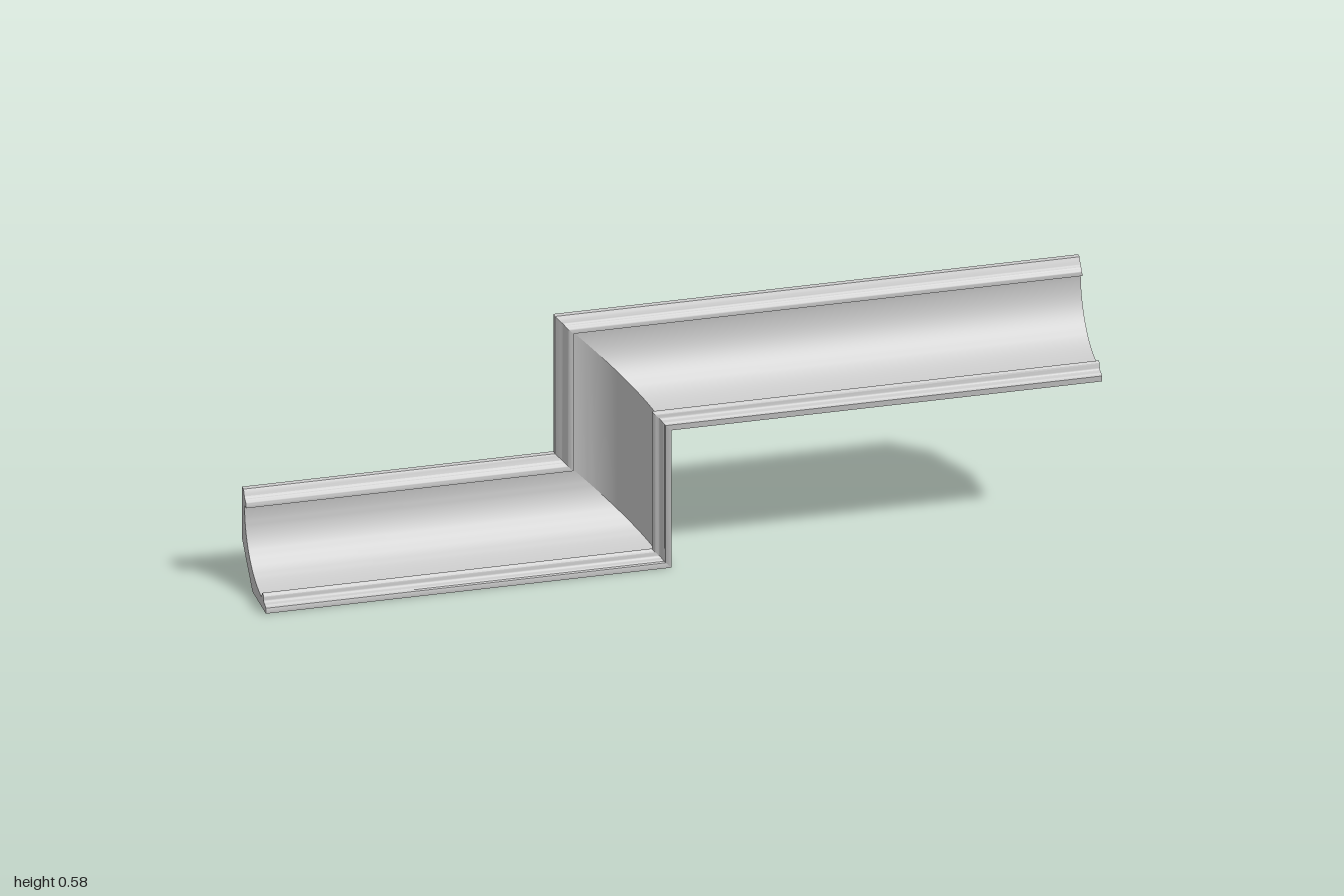
import * as THREE from 'three';
import { toCreasedNormals } from 'three/addons/utils/BufferGeometryUtils.js';

const RISE = 0.352, CORNER = -0.03;

// Moulding cross-section as (z, height), from the front foot round the back to the front lip
function makeProfile() {
  const pts = [[0.11, 0], [-0.012, 0], [-0.108, 0.094], [-0.108, 0.225], [-0.094, 0.225]];
  const arc = (cz, ch, rz, rh, from, to, n) => {
    for (let i = 0; i <= n; i++) {
      const a = THREE.MathUtils.degToRad(from + (to - from) * i / n);
      pts.push([cz + rz * Math.cos(a), ch + rh * Math.sin(a)]);
    }
  };
  // top ogee
  pts.push([-0.09, 0.22], [-0.088, 0.214]);
  arc(-0.078, 0.214, 0.009, 0.009, 190, 260, 4);
  arc(-0.08, 0.193, 0.01, 0.01, 75, 0, 5);
  pts.push([-0.07, 0.187], [-0.084, 0.187]);
  // cove
  arc(0.085, 0.187, 0.169, 0.163, 183, 265, 24);
  // bead
  arc(0.08, 0.03, 0.008, 0.009, 180, 0, 8);
  // lower lip
  arc(0.097, 0.027, 0.008, 0.008, 190, 270, 4);
  arc(0.1, 0.014, 0.005, 0.005, 80, 20, 3);
  pts.push([0.11, 0.014]);
  return pts.map(([z, h]) => new THREE.Vector2(z, h));
}

// The four mitred stations that a profile point passes through
const stations = [
  (p) => [-1, p.y, p.x],
  (p) => [CORNER - p.y, p.y, p.x],
  (p) => [CORNER - p.y, RISE + p.y, p.x],
  (p) => [1, RISE + p.y, p.x],
];

export function createModel() {
  const group = new THREE.Group();
  const material = new THREE.MeshStandardMaterial({ color: 0xcccccc });
  const profile = makeProfile();

  const addMesh = (name, pos, crease) => {
    const geo = new THREE.BufferGeometry();
    geo.setAttribute('position', new THREE.Float32BufferAttribute(pos, 3));
    const mesh = new THREE.Mesh(toCreasedNormals(geo, crease), material);
    mesh.name = name;
    group.add(mesh);
  };

  // Straight lengths between neighbouring stations
  ['lowerRun', 'riser', 'upperRun'].forEach((name, k) => {
    const pos = [];
    profile.forEach((p, i) => {
      const q = profile[(i + 1) % profile.length];
      const a = stations[k](p), b = stations[k](q);
      const c = stations[k + 1](q), d = stations[k + 1](p);
      pos.push(...a, ...b, ...d, ...b, ...c, ...d);
    });
    addMesh(name, pos, Math.PI / 6);
  });

  // Flat cut ends
  const faces = THREE.ShapeUtils.triangulateShape(profile, []);
  [['leftEnd', 3, true], ['rightEnd', 0, false]].forEach(([name, k, facesPlusX]) => {
    const pos = [];
    for (const f of faces) {
      const tri = f.map((i) => profile[i]);
      if ((THREE.ShapeUtils.area(tri) > 0) === facesPlusX) tri.reverse();
      tri.forEach((p) => pos.push(...stations[k](p)));
    }
    addMesh(name, pos, 0.1);
  });

  return group;
}
